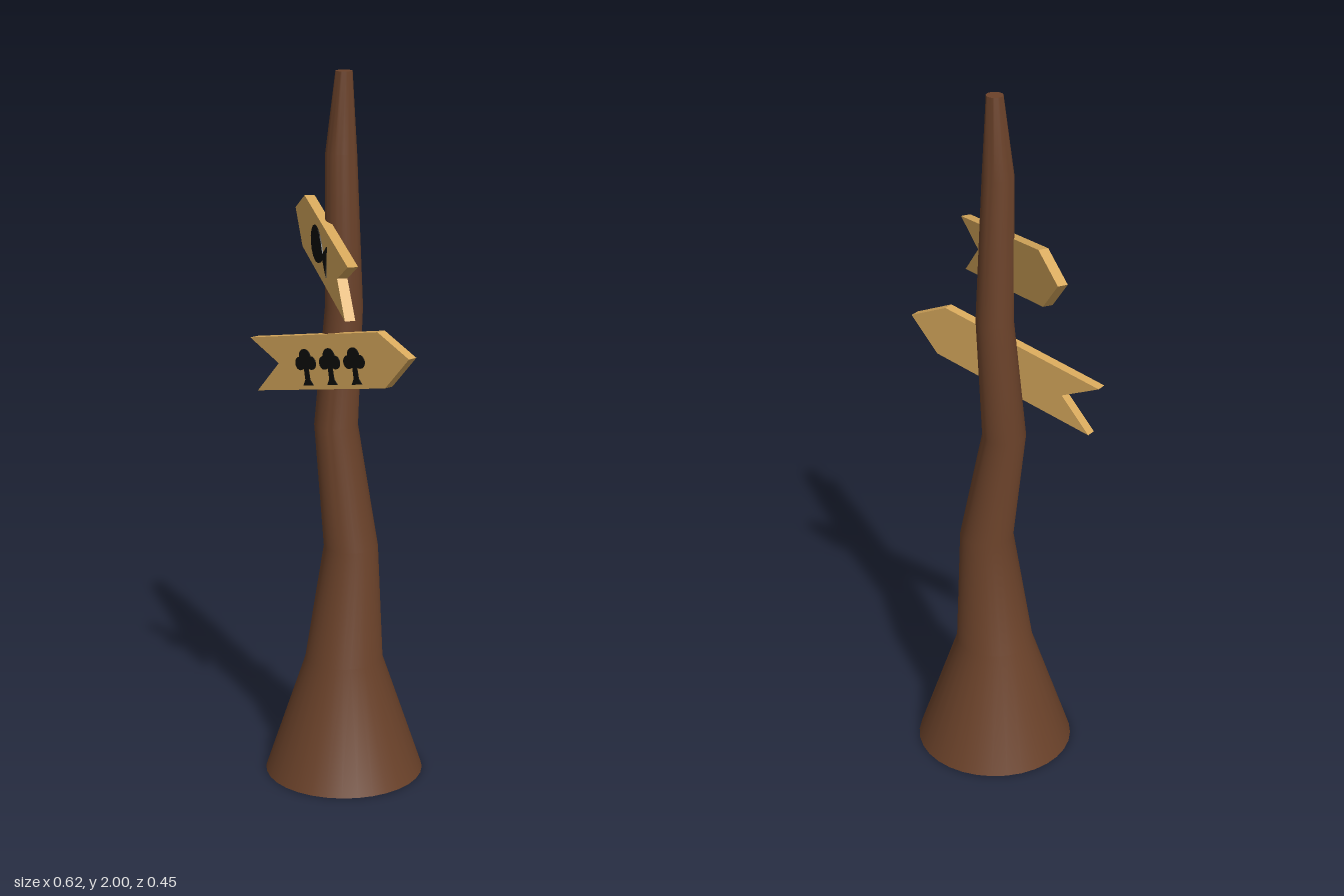
import * as THREE from 'three';
import { toCreasedNormals } from 'three/addons/utils/BufferGeometryUtils.js';

const wood = new THREE.MeshStandardMaterial({ color: 0x6b422a });
const plank = new THREE.MeshStandardMaterial({ color: 0xd8a95c });
const black = new THREE.MeshStandardMaterial({ color: 0x0c0c0a });

const THICK = 0.028;

function part(name, geometry, material) {
  const mesh = new THREE.Mesh(geometry, material);
  mesh.name = name;
  return mesh;
}

const polygon = (points) => new THREE.Shape(points.map(([x, y]) => new THREE.Vector2(x, y)));

// Flat slab centred on z = 0
function slab(shape, depth) {
  return new THREE.ExtrudeGeometry(shape, { depth, bevelEnabled: false, curveSegments: 8 })
    .translate(0, 0, -depth / 2);
}

// Crooked tapering post: each row of a cylinder gets [height, centre x, radius]
function createPost() {
  const rows = [
    [0, 0, 0.225], [0.34, 0, 0.11], [0.68, 0.028, 0.076], [1.02, -0.032, 0.061],
    [1.36, 0, 0.052], [1.78, -0.011, 0.043], [2, 0, 0.023],
  ];
  const last = rows.length - 1;
  const geometry = new THREE.CylinderGeometry(1, 1, 1, 32, last);
  const pos = geometry.attributes.position;
  for (let i = 0; i < pos.count; i++) {
    const [y, cx, r] = rows[Math.round((pos.getY(i) + 0.5) * last)];
    pos.setXYZ(i, cx + pos.getX(i) * r, y, pos.getZ(i) * r);
  }
  return part('post', toCreasedNormals(geometry, 0.6), wood);
}

// Arrow board with a notched tail; dir = 1 points to +x, -1 to -x
function createBoard(name, dir) {
  const outline = [
    [-0.302, -0.076], [0.214, -0.076], [0.319, 0], [0.214, 0.076], [-0.302, 0.076], [-0.197, 0],
  ].map(([x, y]) => [x * dir, y]);
  const group = new THREE.Group();
  group.name = name;
  group.add(part('arrowBoard', slab(polygon(outline), THICK), plank));
  return group;
}

// Painted tree symbol: three-lobed crown over a flared trunk
function createTree() {
  const tree = new THREE.Group();
  tree.name = 'treeSymbol';
  const disc = (x, y, r) => new THREE.Shape().absarc(x, y, r, 0, Math.PI * 2);
  const shapes = [
    disc(-0.022, 0.01, 0.019), disc(0.022, 0.01, 0.019), disc(0, 0.027, 0.023),
    polygon([[-0.02, -0.052], [0.02, -0.052], [0.009, -0.036], [0.008, 0.02], [-0.008, 0.02], [-0.009, -0.036]]),
  ];
  shapes.forEach((s) => tree.add(part('treeShape', slab(s, 0.006), black)));
  return tree;
}

// Painted fish symbol: rounded body narrowing to a forked tail
function createFish() {
  const s = new THREE.Shape();
  s.moveTo(-0.108, 0);
  s.bezierCurveTo(-0.1, 0.062, -0.02, 0.066, 0.034, 0.003);
  s.lineTo(0.074, 0.04);
  s.quadraticCurveTo(0.066, -0.003, 0.084, -0.046);
  s.lineTo(0.034, -0.012);
  s.bezierCurveTo(-0.02, -0.068, -0.1, -0.056, -0.108, 0);
  return part('fishSymbol', slab(s, 0.006), black);
}

export function createModel() {
  const model = new THREE.Group();
  model.name = 'signpost';
  model.add(createPost());

  // Lower board with three trees
  const lower = createBoard('lowerSign', 1);
  for (let i = -1; i <= 1; i++) {
    const tree = createTree();
    tree.position.set(0.013 + i * 0.097, -0.012, THICK / 2);
    lower.add(tree);
  }
  lower.position.set(-0.003, 1.214, 0.049);
  lower.rotation.set(0, 0.012, 0.197);
  model.add(lower);

  // Upper board with a fish
  const upper = createBoard('upperSign', -1);
  const fish = createFish();
  fish.position.z = THICK / 2;
  upper.add(fish);
  upper.position.set(-0.022, 1.52, 0.048);
  upper.rotation.set(0, -Math.PI / 6, -0.2);
  model.add(upper);

  return model;
}
